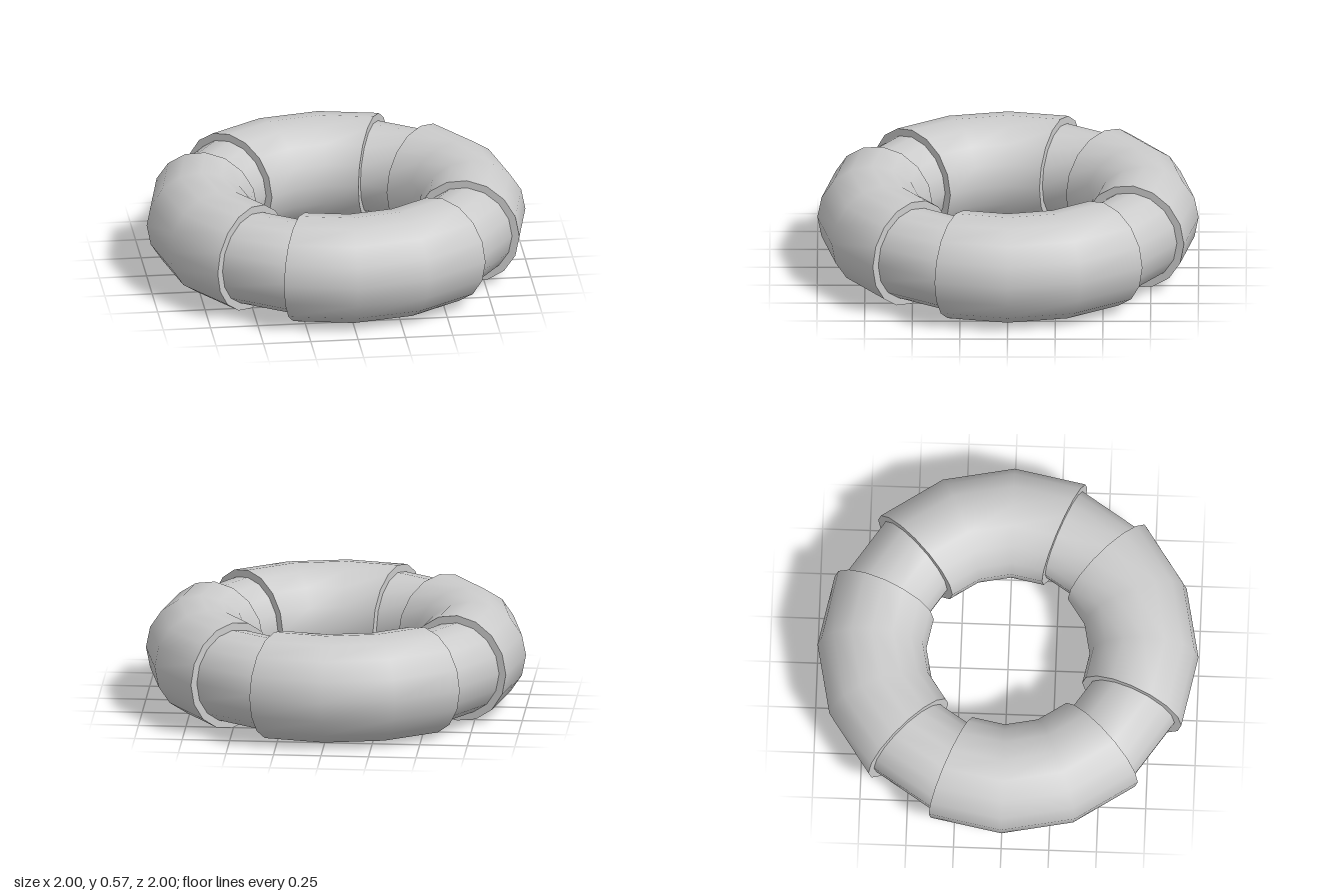
import * as THREE from 'three';

const RING = 0.714;    // radius of the ring's centre line
const SLEEVE = 0.286;  // outer radius of the sleeves
const CORE = 0.246;    // radius of the inner tube
const SIDES = 16;
const STEP = Math.PI / 8; // one of 16 segments round the ring

export function createModel() {
  const model = new THREE.Group();
  model.name = 'segmentedRing';
  const material = new THREE.MeshStandardMaterial({ color: 0xcccccc });

  const add = (parent, name, geometry) => {
    const mesh = new THREE.Mesh(geometry, material);
    mesh.name = name;
    parent.add(mesh);
  };

  // Inner tube, seen between the sleeves
  add(model, 'coreTube', new THREE.TorusGeometry(RING, CORE, SIDES, 16).rotateX(Math.PI / 2));

  // Flat annulus closing a sleeve at the given angle
  const endFace = (angle, isStart) => new THREE.RingGeometry(CORE - 0.002, SLEEVE, SIDES)
    .rotateY(isStart ? Math.PI : 0)
    .translate(RING, 0, 0)
    .rotateY(-angle);

  // Four sleeves, each three segments long with a one-segment gap
  for (let i = 0; i < 4; i++) {
    const sleeve = new THREE.Group();
    sleeve.name = `sleeve${i + 1}`;
    sleeve.rotation.y = -(Math.PI / 4 + i * Math.PI / 2);
    add(sleeve, 'sleeveShell',
      new THREE.TorusGeometry(RING, SLEEVE, SIDES, 3, 3 * STEP).rotateX(Math.PI / 2));
    add(sleeve, 'sleeveStartFace', endFace(0, true));
    add(sleeve, 'sleeveEndFace', endFace(3 * STEP, false));
    model.add(sleeve);
  }

  // Rest the ring on the ground
  model.children.forEach((part) => { part.position.y = SLEEVE; });
  return model;
}
